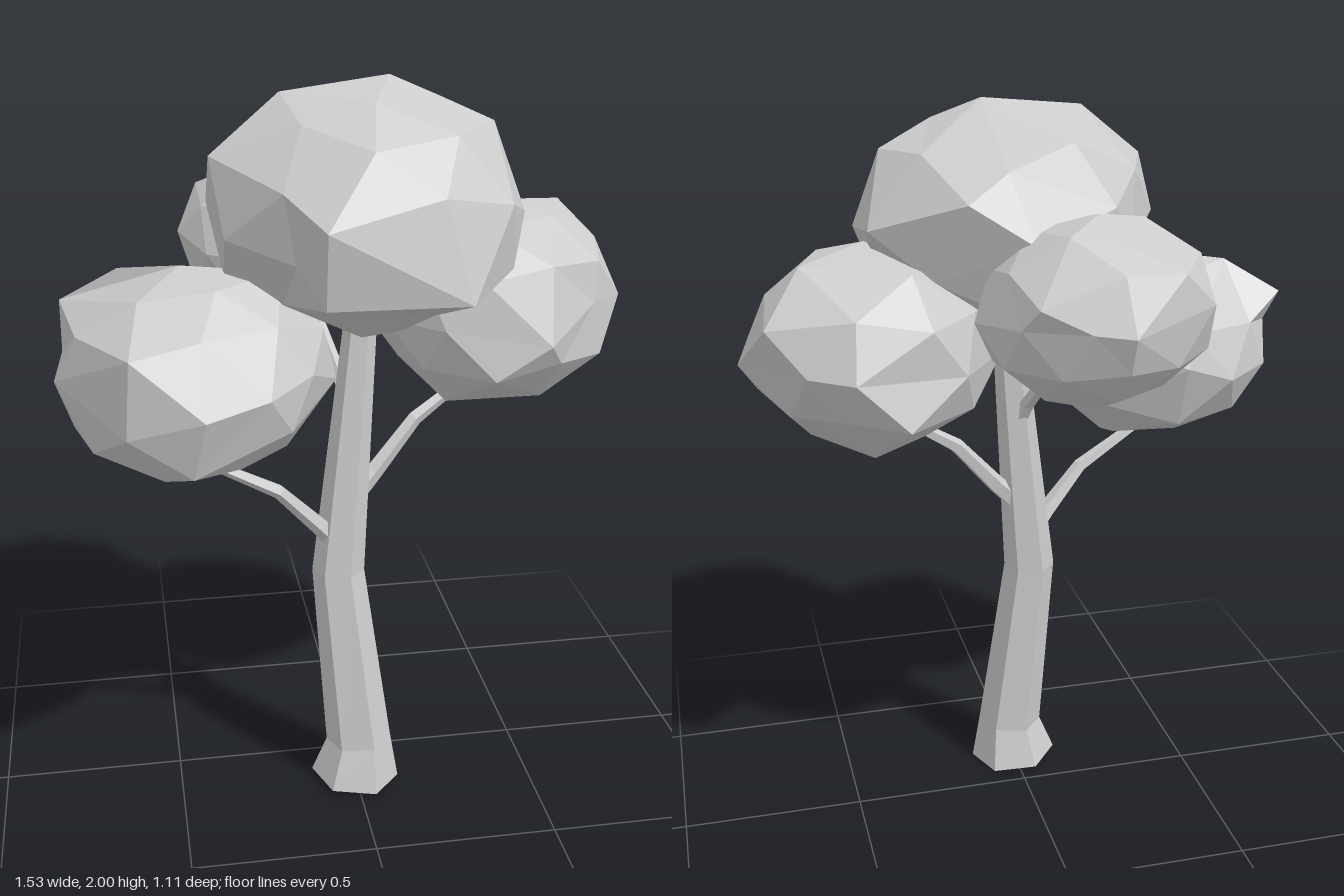
import * as THREE from 'three';
import { mergeVertices } from 'three/addons/utils/BufferGeometryUtils.js';

const grey = new THREE.MeshStandardMaterial({ color: 0xcccccc, flatShading: true });
grey.name = 'pale grey';

// Faceted limb: a cylinder whose rows follow a path; each point is [x, y, z, radius]
function limb(name, path, sides, turn = 0) {
  const n = path.length - 1;
  const geo = new THREE.CylinderGeometry(1, 1, 1, sides, n);
  geo.rotateY(turn);
  const centres = path.map(([x, y, z]) => new THREE.Vector3(x, y, z));
  const up = new THREE.Vector3(0, 1, 0);
  const frames = centres.map((c, i) => {
    const dir = centres[Math.min(i + 1, n)].clone().sub(centres[Math.max(i - 1, 0)]).normalize();
    return new THREE.Quaternion().setFromUnitVectors(up, dir);
  });
  const pos = geo.attributes.position;
  const v = new THREE.Vector3();
  for (let i = 0; i < pos.count; i++) {
    v.fromBufferAttribute(pos, i);
    const row = Math.round((v.y + 0.5) * n);
    v.y = 0;
    v.multiplyScalar(path[row][3]).applyQuaternion(frames[row]).add(centres[row]);
    pos.setXYZ(i, v.x, Math.max(v.y, 0), v.z);
  }
  geo.computeVertexNormals();
  const mesh = new THREE.Mesh(geo, grey);
  mesh.name = name;
  return mesh;
}

// Leaf clump: an uneven ellipsoid, with its nearest corners pulled to a few landmarks
function clump(name, centre, radii, seed, landmarks) {
  let geo = new THREE.IcosahedronGeometry(1, 1);
  geo.deleteAttribute('normal');
  geo.deleteAttribute('uv');
  geo = mergeVertices(geo, 1e-3);
  geo.rotateY(seed);
  geo.rotateX(seed * 0.7);
  const pos = geo.attributes.position;
  const c = new THREE.Vector3(...centre);
  const r = new THREE.Vector3(...radii);
  const points = [];
  for (let i = 0; i < pos.count; i++) {
    const wobble = 0.98 + 0.035 * Math.sin(i * 12.9 + seed * 7.3);
    points.push(new THREE.Vector3().fromBufferAttribute(pos, i).multiply(r).multiplyScalar(wobble).add(c));
  }
  const used = new Set();
  for (const mark of landmarks) {
    const target = new THREE.Vector3(...mark);
    let best = -1;
    points.forEach((p, i) => {
      if (!used.has(i) && (best < 0 || p.distanceTo(target) < points[best].distanceTo(target))) best = i;
    });
    used.add(best);
    points[best].copy(target);
  }
  points.forEach((p, i) => pos.setXYZ(i, p.x, p.y, p.z));
  geo.computeVertexNormals();
  const mesh = new THREE.Mesh(geo, grey);
  mesh.name = name;
  return mesh;
}

export function createModel() {
  const tree = new THREE.Group();
  tree.name = 'tree';

  // Trunk with flared foot and a bend
  tree.add(limb('trunk', [
    [0, 0.01, 0.15, 0.125], [0.01, 0.13, 0.15, 0.092],
    [-0.043, 0.66, 0.118, 0.072], [0.022, 1.36, 0.085, 0.044],
  ], 6, 0.35));

  // Branches reaching into the side clumps
  tree.add(limb('rightBranch', [
    [-0.04, 0.74, 0.12, 0.03], [-0.1, 0.81, 0.14, 0.026],
    [-0.21, 0.93, 0.17, 0.02], [-0.4, 1.04, 0.2, 0.014],
  ], 5));
  tree.add(limb('leftBranch', [
    [0.0, 0.87, 0.1, 0.03], [0.06, 0.93, 0.08, 0.026],
    [0.18, 1.07, 0.05, 0.021], [0.33, 1.17, 0.02, 0.014],
  ], 5));
  tree.add(limb('backBranch', [
    [0.0, 1.1, 0.09, 0.024], [-0.02, 1.18, 0.04, 0.02], [-0.07, 1.34, -0.1, 0.015],
  ], 5));

  // Leaf clumps
  tree.add(clump('topLeaves', [0.03, 1.68, 0.13], [0.4, 0.32, 0.4], 0.4, [
    [0.09, 2.0, 0.1], [-0.19, 1.97, 0.14], [0.02, 1.96, 0.29], [0.36, 1.88, 0.1],
    [0.42, 1.7, -0.06], [0.37, 1.55, 0.3], [0.22, 1.52, 0.51], [-0.13, 1.52, 0.5],
    [-0.13, 1.71, 0.53], [-0.37, 1.83, 0.19], [-0.34, 1.53, 0.2], [0.11, 1.37, 0.2],
    [-0.03, 1.39, 0.06], [0.03, 1.68, -0.27], [0.2, 1.79, -0.25], [-0.2, 1.75, -0.16],
  ]));
  tree.add(clump('rightLeaves', [-0.42, 1.29, 0.2], [0.355, 0.27, 0.345], 1.3, [
    [-0.77, 1.3, 0.25], [-0.75, 1.45, 0.05], [-0.6, 1.54, 0.1], [-0.42, 1.28, 0.55],
    [-0.59, 1.42, 0.49], [-0.42, 1.3, -0.14], [-0.53, 1.02, 0.2], [-0.28, 1.03, 0.2],
    [-0.73, 1.16, 0.2], [-0.06, 1.25, 0.2], [-0.2, 1.54, 0.2], [-0.26, 1.3, 0.48],
    [-0.45, 1.12, 0.5],
  ]));
  tree.add(clump('leftLeaves', [0.41, 1.39, 0], [0.345, 0.27, 0.35], 2.2, [
    [0.76, 1.37, -0.03], [0.7, 1.5, -0.2], [0.6, 1.63, -0.1], [0.42, 1.66, 0.02],
    [0.06, 1.35, 0], [0.25, 1.14, 0.12], [0.43, 1.12, -0.12], [0.58, 1.15, 0.02],
    [0.5, 1.39, -0.35], [0.37, 1.26, -0.35], [0.47, 1.35, 0.34], [0.33, 1.26, 0.33],
    [0.62, 1.42, 0.2],
  ]));
  tree.add(clump('backLeaves', [-0.12, 1.52, -0.25], [0.31, 0.245, 0.3], 3.1, [
    [-0.13, 1.52, -0.56], [0.08, 1.58, -0.47], [-0.38, 1.55, -0.41], [-0.43, 1.55, -0.22],
    [-0.12, 1.76, -0.27], [-0.1, 1.28, -0.33], [0.19, 1.5, -0.25], [-0.16, 1.7, -0.4],
  ]));
  return tree;
}
